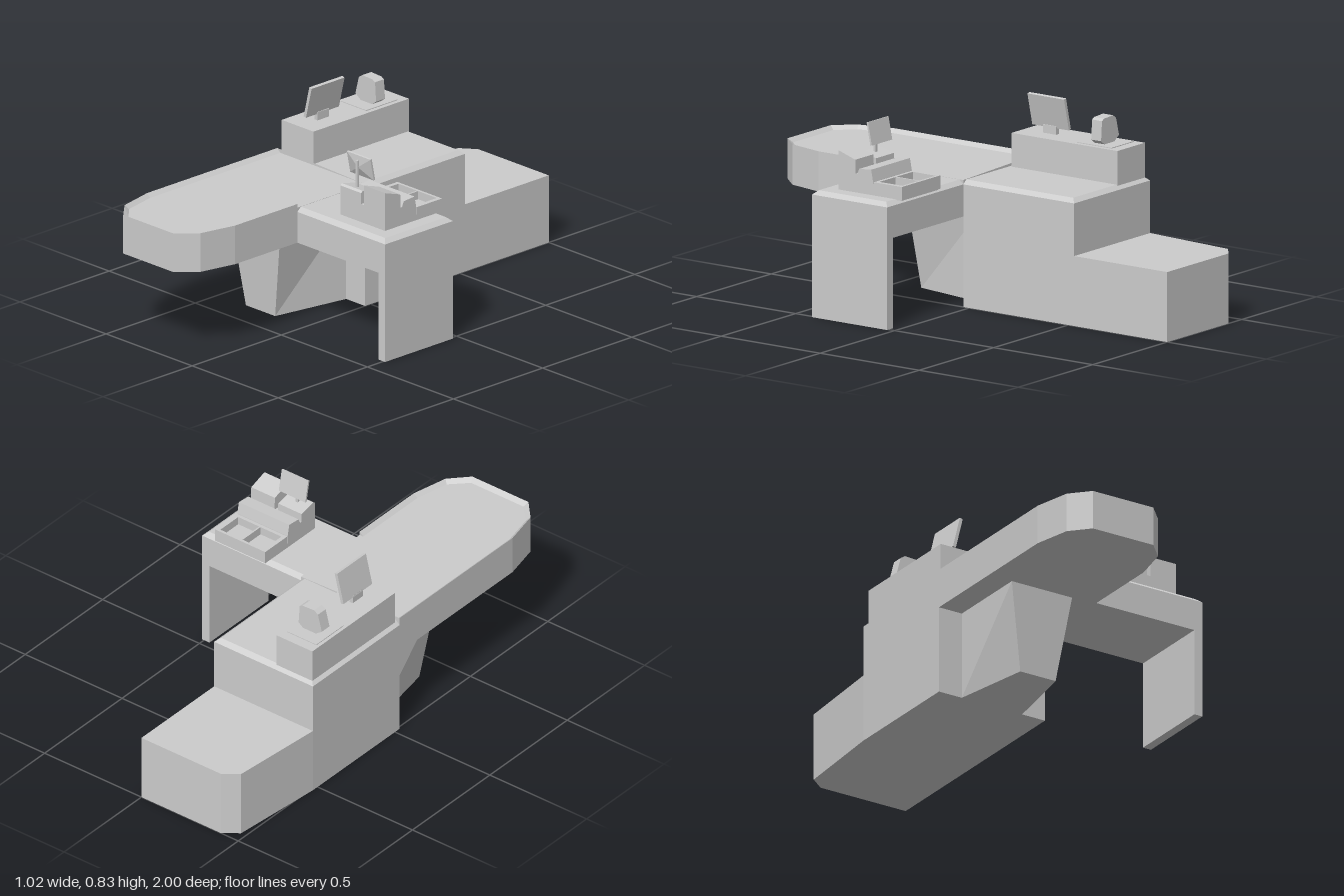
import * as THREE from 'three';

const material = new THREE.MeshStandardMaterial({ color: 0xcccccc, flatShading: true, side: THREE.DoubleSide });

// Solid through stacked rings of [x, y, z], each counter-clockwise seen from above
function loft(rings) {
  const pos = [];
  const tri = (a, b, c) => pos.push(...a, ...b, ...c);
  const n = rings[0].length;
  for (let r = 0; r + 1 < rings.length; r++) {
    for (let i = 0; i < n; i++) {
      const j = (i + 1) % n, b = rings[r], t = rings[r + 1];
      tri(b[i], b[j], t[j]);
      tri(b[i], t[j], t[i]);
    }
  }
  const low = rings[0], top = rings[rings.length - 1];
  for (let i = 1; i + 1 < n; i++) {
    tri(low[0], low[i + 1], low[i]);
    tri(top[0], top[i], top[i + 1]);
  }
  const g = new THREE.BufferGeometry();
  g.setAttribute('position', new THREE.Float32BufferAttribute(pos, 3));
  g.computeVertexNormals();
  return g;
}

const atY = (pts, y) => pts.map(([x, z]) => [x, y, z]);
const rect = (x0, x1, z0, z1) => [[x0, z0], [x0, z1], [x1, z1], [x1, z0]];

function boxGeo(x0, x1, y0, y1, z0, z1) {
  return new THREE.BoxGeometry(x1 - x0, y1 - y0, z1 - z0)
    .translate((x0 + x1) / 2, (y0 + y1) / 2, (z0 + z1) / 2);
}

// Side profile of [z, y] points, extruded from x0 to x1
function profileGeo(pts, x0, x1) {
  const shape = new THREE.Shape(pts.map(([z, y]) => new THREE.Vector2(-z, y)));
  return new THREE.ExtrudeGeometry(shape, { depth: x1 - x0, bevelEnabled: false })
    .rotateY(Math.PI / 2).translate(x0, 0, 0);
}

export function createModel() {
  const group = new THREE.Group();
  const add = (name, geometry, parent = group) => {
    const mesh = new THREE.Mesh(geometry, material);
    mesh.name = name;
    parent.add(mesh);
    return mesh;
  };

  // Main cabinet and side desk, both with a bevelled top edge
  add('cabinet', loft([
    atY(rect(-0.51, 0, -0.53, 0.03), 0), atY(rect(-0.51, 0, -0.53, 0.03), 0.508),
    atY(rect(-0.49, -0.02, -0.51, 0.03), 0.525)]));
  add('desk', loft([
    atY(rect(-0.02, 0.51, 0.03, 0.41), 0.375), atY(rect(-0.02, 0.51, 0.03, 0.41), 0.508),
    atY(rect(-0.02, 0.49, 0.05, 0.39), 0.525)]));
  add('deskLeg', boxGeo(0.472, 0.51, 0, 0.375, 0.03, 0.41));

  // Low bagging shelf behind the cabinet
  const tail = [[-0.51, -0.53], [0, -0.53], [0, -1], [-0.41, -1], [-0.475, -0.95]];
  add('baggingShelf', loft([atY(tail, 0), atY(tail, 0.29)]));

  // Belt counter with a raised rim sloping down to the belt
  const outer = [[-0.51, 0.03], [-0.51, 0.76], [-0.475, 0.92], [-0.4, 1], [-0.11, 1],
    [-0.035, 0.92], [0, 0.76], [0, 0.41], [0, 0.41], [0, 0.03]];
  const inner = [[-0.492, 0.03], [-0.492, 0.76], [-0.46, 0.91], [-0.39, 0.98], [-0.12, 0.98],
    [-0.05, 0.91], [-0.018, 0.76], [-0.018, 0.41], [0, 0.41], [0, 0.03]];
  add('beltCounter', loft([
    atY(outer, 0.375),
    outer.map(([x, z], i) => [x, i < 8 ? 0.542 : 0.526, z]),
    atY(inner, 0.526)]));

  // Tapering support under the belt counter
  add('support', loft([
    atY([[-0.4, 0.03], [-0.34, 0.37], [-0.17, 0.37], [-0.11, 0.03]], 0),
    atY([[-0.4, 0.03], [-0.4, 0.4], [-0.11, 0.4], [-0.11, 0.03]], 0.375)]));

  // Raised box on the cabinet with a tilted display
  add('raisedBox', boxGeo(-0.495, -0.31, 0.52, 0.665, -0.515, 0.02));
  const display = new THREE.Group();
  display.name = 'tiltedDisplay';
  group.add(display);
  add('displayStand', boxGeo(-0.408, -0.39, 0.66, 0.7, -0.145, -0.08), display);
  const panel = add('displayPanel', new THREE.BoxGeometry(0.014, 0.138, 0.185), display);
  panel.position.set(-0.386, 0.759, -0.113);
  panel.rotation.z = -0.24;

  // Faceted dispenser on a thin plate
  add('dispenserPlate', boxGeo(-0.48, -0.33, 0.663, 0.668, -0.47, -0.295));
  const outline = new THREE.Shape([[-0.425, 0.665], [-0.46, 0.69], [-0.44, 0.765], [-0.42, 0.778],
    [-0.36, 0.775], [-0.346, 0.767], [-0.34, 0.685], [-0.367, 0.665]].map(p => new THREE.Vector2(...p)));
  add('dispenser', new THREE.ExtrudeGeometry(outline, { depth: 0.05, bevelEnabled: false })
    .translate(0, 0, -0.41));

  // Cash register: stepped body, two front blocks and an open coin tray
  const register = new THREE.Group();
  register.name = 'cashRegister';
  group.add(register);
  add('registerBody', profileGeo([[0.335, 0.52], [0.335, 0.603], [0.24, 0.603], [0.23, 0.625],
    [0.17, 0.63], [0.16, 0.58], [0.155, 0.52]], 0.172, 0.432), register);
  add('leftBlock', profileGeo([[0.335, 0.52], [0.335, 0.65], [0.325, 0.657], [0.25, 0.64], [0.245, 0.52]],
    0.172, 0.293), register);
  add('rightBlock', profileGeo([[0.335, 0.52], [0.335, 0.688], [0.25, 0.66], [0.245, 0.52]],
    0.31, 0.432), register);
  const tray = new THREE.Shape(rect(0.172, 0.432, 0.015, 0.157).map(p => new THREE.Vector2(...p)));
  for (const x of [0.19, 0.305]) {
    tray.holes.push(new THREE.Path(rect(x, x + 0.108, 0.027, 0.142).map(p => new THREE.Vector2(...p))));
  }
  add('coinTray', new THREE.ExtrudeGeometry(tray, { depth: 0.055, bevelEnabled: false })
    .rotateX(Math.PI / 2).translate(0, 0.58, 0), register);
  add('coinTrayFloor', boxGeo(0.18, 0.425, 0.52, 0.545, 0.022, 0.15), register);

  // Register screen facing the cashier, with a shallow pyramid back on a pole
  add('screenPole', boxGeo(0.226, 0.238, 0.65, 0.765, 0.293, 0.303), register);
  const screen = new THREE.Group();
  screen.name = 'registerScreen';
  screen.position.set(0.233, 0.738, 0.278);
  screen.rotation.x = 0.2;
  register.add(screen);
  add('screenPanel', new THREE.BoxGeometry(0.137, 0.096, 0.008), screen);
  add('screenBack', new THREE.ConeGeometry(Math.SQRT1_2, 1, 4, 1).rotateY(Math.PI / 4)
    .rotateX(Math.PI / 2).scale(0.137, 0.096, 0.014).translate(0, 0, 0.011), screen);

  return group;
}
